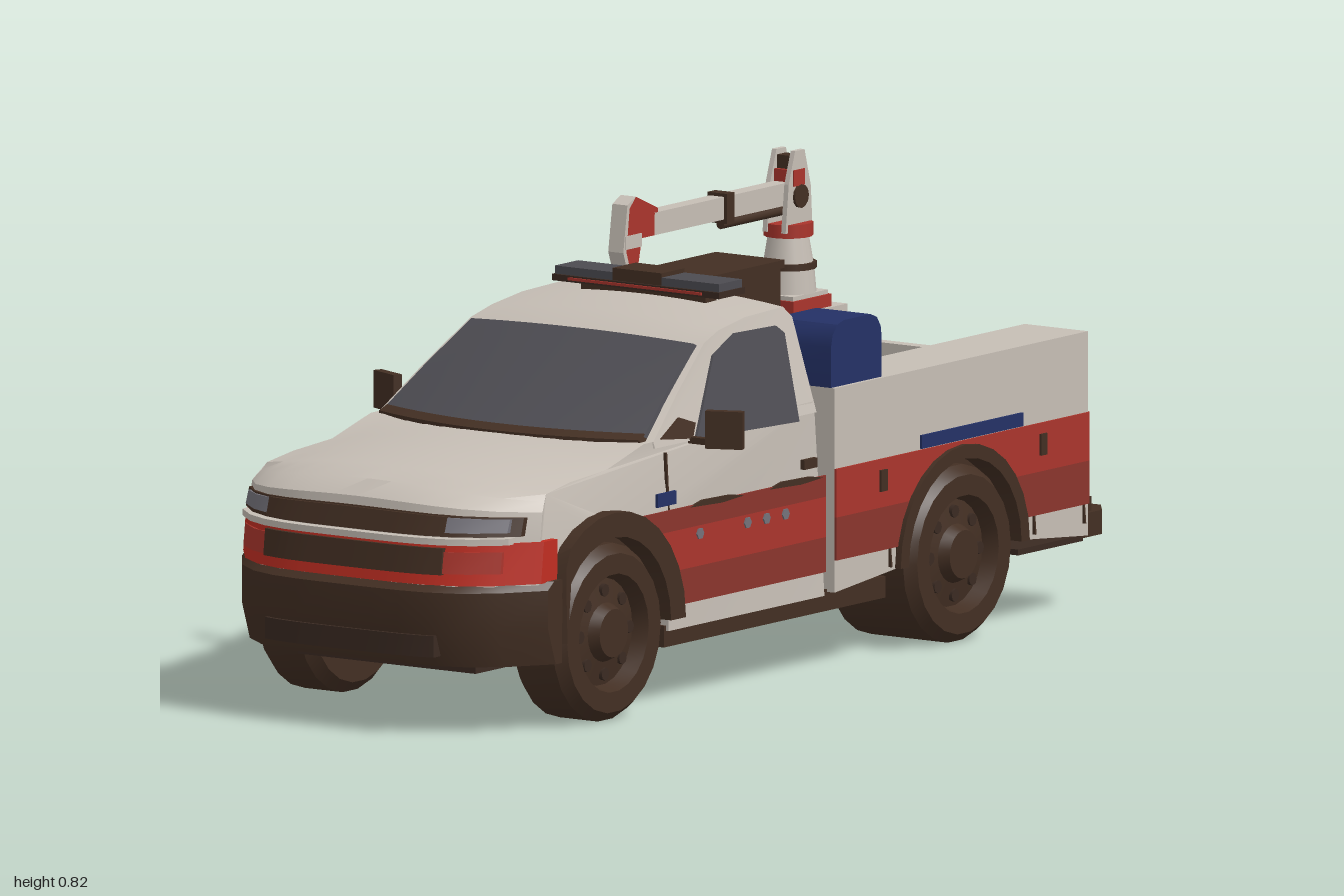
import * as THREE from 'three';
import { toCreasedNormals } from 'three/addons/utils/BufferGeometryUtils.js';

const mat = (name, color) => {
  const m = new THREE.MeshStandardMaterial({ color });
  m.name = name;
  return m;
};

export function createModel() {
  const white = mat('white paint', 0xc6beb5), brown = mat('dark trim', 0x432f23);
  const red = mat('red stripe', 0xaa352c), maroon = mat('maroon stripe', 0x8a352d);
  const scarlet = mat('bright red', 0xc02e22), navy = mat('navy', 0x243166);
  const glass = mat('glass', 0x4c4b51), black = mat('rubber', 0x3a2a22), grey = mat('lamp grey', 0x74727a);

  const truck = new THREE.Group();
  truck.name = 'truck';
  const add = (name, geo, m) => {
    const mesh = new THREE.Mesh(geo, m);
    mesh.name = name;
    truck.add(mesh);
    return mesh;
  };
  const box = (name, m, x0, x1, y0, y1, z0, z1) =>
    add(name, new THREE.BoxGeometry(x1 - x0, y1 - y0, z1 - z0)
      .translate((x0 + x1) / 2, (y0 + y1) / 2, (z0 + z1) / 2), m);

  // Side profile [z, y] swept from x0 to x1
  const sweep = (pts, x0, x1, steps = 1) => {
    const shape = new THREE.Shape(pts.map(p => new THREE.Vector2(p[0], p[1])));
    return new THREE.ExtrudeGeometry(shape, { depth: x1 - x0, steps, bevelEnabled: false })
      .rotateY(-Math.PI / 2).translate(x1, 0, 0);
  };
  // Rounds the nose in plan, crowns hood and roof, leans the cab sides in
  const HW = 0.33, smooth = THREE.MathUtils.smoothstep;
  const warp = (geo, bow = 0) => {
    const p = geo.attributes.position;
    for (let i = 0; i < p.count; i++) {
      const x = p.getX(i), y = p.getY(i), z = p.getZ(i), u = Math.abs(x) / HW;
      const lean = 1 - 0.9 * Math.max(0, y - 0.42);
      const crown = bow ? 0.015 * smooth(y, 0.62, 0.68) : 0.03 * smooth(y, 0.38, 0.47) * smooth(z, 0.45, 0.6);
      const back = bow ? bow * u * u * THREE.MathUtils.clamp((0.66 - y) / 0.17, 0, 1) * smooth(z, 0.1, 0.3)
        : 0.13 * u ** 4 * smooth(z, 0.76, 0.97);
      p.setXYZ(i, x * lean, y - crown * u * u, z - back);
    }
    return toCreasedNormals(geo, 0.5);
  };
  const slab = (name, m, pts, hw = HW, bow = 0) => add(name, warp(sweep(pts, -hw, hw, 12), bow), m);
  // Thin panel on both sides of the truck
  const sides = (name, m, pts, x, thick = 0.006) => {
    for (const s of [-1, 1]) {
      const a = s * x, b = s * (x + thick);
      add(name, warp(sweep(pts, Math.min(a, b), Math.max(a, b))), m);
    }
  };
  const rect = (z0, z1, y0, y1) => [[z0, y0], [z1, y0], [z1, y1], [z0, y1]];
  const arc = (c, r, a0, a1, n = 14) => Array.from({ length: n + 1 }, (_, i) => {
    const a = a0 + (a1 - a0) * i / n;
    return [c + r * Math.cos(a), 0.165 + r * Math.sin(a)];
  });

  const FRONT = 0.633, REAR = -0.47;

  // Lower cab and engine bay
  slab('cabBody', white, [[-0.06, 0.14], [-0.06, 0.5], [0.48, 0.495], [0.6, 0.49], [0.72, 0.483],
    [0.84, 0.472], [0.92, 0.458], [0.955, 0.43], [0.967, 0.36], [0.975, 0.28],
    ...arc(FRONT, 0.2, 0.62, Math.PI), [0.433, 0.14]]);
  slab('frontBumper', brown, [[0.97, 0.285], [0.99, 0.27], [0.99, 0.2], [0.965, 0.13], [0.825, 0.13],
    [0.825, 0.2], [0.797, 0.285]], 0.345);
  slab('bumperIntake', black, rect(0.97, 0.993, 0.15, 0.19), 0.19);
  slab('noseStripe', scarlet, [[0.82, 0.283], [0.983, 0.283], [0.974, 0.36], [0.82, 0.36]], 0.336);
  slab('noseLamps', red, [[0.95, 0.305], [0.985, 0.305], [0.979, 0.345], [0.95, 0.345]], 0.29);
  slab('lowerGrille', brown, [[0.95, 0.303], [0.988, 0.303], [0.982, 0.352], [0.95, 0.352]], 0.2);
  slab('upperGrille', brown, [[0.9, 0.372], [0.972, 0.372], [0.962, 0.414], [0.9, 0.414]], 0.31);
  slab('headlamps', grey, [[0.92, 0.38], [0.976, 0.38], [0.967, 0.41], [0.92, 0.41]], 0.295);
  slab('grilleCentre', brown, [[0.92, 0.376], [0.979, 0.376], [0.969, 0.412], [0.92, 0.412]], 0.2);
  slab('grilleBar', white, rect(0.9, 0.985, 0.358, 0.37), 0.3);

  // Cab top and glass
  slab('cabTop', white, [[-0.06, 0.48], [-0.06, 0.665], [-0.04, 0.688], [0.08, 0.685], [0.17, 0.672],
    [0.23, 0.648], [0.38, 0.568], [0.52, 0.492], [0.52, 0.48]], HW, 0.07);
  slab('windscreen', glass, [[0.235, 0.638], [0.246, 0.648], [0.388, 0.572], [0.518, 0.501], [0.505, 0.493]], 0.315, 0.07);
  slab('cowl', brown, [[0.49, 0.485], [0.535, 0.485], [0.535, 0.497], [0.51, 0.506]], 0.315, 0.07);
  sides('sideWindow', glass, [[0.325, 0.482], [0.005, 0.472], [-0.015, 0.63], [0.005, 0.645], [0.135, 0.648], [0.215, 0.618]], HW);
  sides('pillarTrim', brown, [[0.43, 0.494], [0.335, 0.484], [0.315, 0.51], [0.36, 0.525]], HW, 0.005);
  sides('doorSeam', brown, rect(0.424, 0.428, 0.2, 0.47), HW);
  sides('doorHandle', brown, rect(-0.025, 0.015, 0.385, 0.403), HW, 0.009);
  box('sill', brown, -0.325, 0.325, 0.11, 0.15, -0.26, 0.44);

  // Service bed
  for (const s of [-1, 1]) {
    const a = s * 0.2, b = s * 0.342;
    add('bedLocker', sweep([[-0.075, 0.145], [-0.075, 0.525], [-0.875, 0.525], [-0.875, 0.145],
      ...arc(REAR, 0.19, Math.PI, 0)], Math.min(a, b), Math.max(a, b)), white);
    add('tailLamp', new THREE.CylinderGeometry(0.024, 0.024, 0.008, 4).rotateX(Math.PI / 2)
      .translate(s * 0.27, 0.445, -0.876), scarlet);
  }
  box('bedFloor', brown, -0.2, 0.2, 0.145, 0.345, -0.86, -0.08);
  box('bedFrontWall', white, -0.2, 0.2, 0.145, 0.5, -0.095, -0.075);
  box('bedStep', maroon, -0.199, 0.199, 0.345, 0.355, -0.17, -0.095);
  box('tailgate', white, -0.2, 0.2, 0.145, 0.465, -0.875, -0.85);
  box('tailStripe', red, -0.342, 0.342, 0.29, 0.375, -0.881, -0.874);
  box('tailStripeLow', maroon, -0.342, 0.342, 0.21, 0.29, -0.881, -0.874);

  // Stripes that stop at the wheel arches
  const band = (name, m, c, zEnd, y0, y1, x) => {
    const dir = Math.sign(zEnd - c), pts = [[zEnd, y1], [zEnd, y0]];
    for (let i = 0; i <= 8; i++) {
      const y = y0 + (y1 - y0) * i / 8;
      pts.push([c + dir * Math.sqrt(Math.max(0, 0.0365 - (y - 0.165) ** 2)), y]);
    }
    sides(name, m, pts, x, 0.004);
  };
  band('doorStripeTop', maroon, FRONT, -0.06, 0.325, 0.365, HW);
  band('doorStripe', red, FRONT, -0.06, 0.25, 0.325, HW);
  band('doorStripeLow', maroon, FRONT, -0.06, 0.185, 0.25, HW);
  for (const z of [-0.075, -0.875]) {
    band('bedStripe', red, REAR, z, 0.285, 0.375, 0.342);
    band('bedStripeLow', maroon, REAR, z, 0.205, 0.285, 0.342);
  }
  for (const z of [0.07, 0.13, 0.19, 0.34])
    sides('doorFleck', grey, arc(z, 0.011, 0, Math.PI * 5 / 3, 5).map(([a, b]) => [a, b + 0.145]), HW, 0.007);
  for (const z of [0.02, 0.27])
    sides('stripeShade', brown, [[z - 0.07, 0.362], [z, 0.358], [z + 0.1, 0.362], [z + 0.06, 0.371], [z - 0.03, 0.369]], HW, 0.005);
  sides('blueStripe', navy, rect(-0.665, -0.345, 0.377, 0.402), 0.342, 0.005);
  sides('blueFleck', navy, rect(0.415, 0.473, 0.375, 0.4), HW, 0.005);
  for (const z of [-0.25, -0.273, -0.705, -0.862]) sides('lockerSeam', brown, rect(z, z + 0.004, 0.17, 0.51), 0.342);
  for (const z of [-0.222, -0.727]) sides('lockerLatch', brown, rect(z - 0.01, z + 0.01, 0.315, 0.355), 0.342, 0.008);
  sides('lockerTopSeam', brown, rect(-0.86, -0.09, 0.507, 0.511), 0.342);

  // Wheel arch flares and dark wheel wells
  for (const [c, r, x0, x1] of [[FRONT, 0.225, 0.29, 0.352], [REAR, 0.204, 0.3, 0.355]]) {
    for (const s of [-1, 1]) {
      const ring = [...arc(c, r, 0, Math.PI), ...arc(c, 0.178, Math.PI, 0)];
      add('archFlare', warp(sweep(ring, s > 0 ? x0 : -x1, s > 0 ? x1 : -x0)), brown);
    }
    add('wheelWell', sweep(arc(c, 0.199, 0, Math.PI).map(([z, y]) => [z, Math.min(y, 0.344)]), -0.305, 0.305), brown);
  }

  // Wheels, with wide pairs at the back
  for (const [z, inner, outer] of [[FRONT, 0.225, 0.35], [REAR, 0.14, 0.352]])
    for (const s of [-1, 1]) {
      const h = (outer - inner) / 2;
      const prof = [[0, -h], [0.145, -h], [0.165, -h + 0.02], [0.165, h - 0.02], [0.148, h], [0.11, h],
        [0.1, h - 0.03], [0.055, h - 0.02], [0.045, h], [0, h]].map(p => new THREE.Vector2(...p));
      const wheel = new THREE.Group();
      wheel.name = 'wheel';
      const tyre = new THREE.Mesh(toCreasedNormals(new THREE.LatheGeometry(prof, 22), 0.5), brown);
      tyre.name = 'tyre';
      wheel.add(tyre);
      for (let i = 0; i < 8; i++) {
        const a = i * Math.PI / 4;
        const hole = new THREE.Mesh(new THREE.CylinderGeometry(0.012, 0.012, 0.008, 8), black);
        hole.name = 'rimHole';
        hole.position.set(0.078 * Math.cos(a), h - 0.023, 0.078 * Math.sin(a));
        wheel.add(hole);
      }
      wheel.rotation.z = -s * Math.PI / 2;
      wheel.position.set(s * (inner + outer) / 2, 0.165, z);
      truck.add(wheel);
    }

  // Underside
  box('chassis', black, -0.2, 0.2, 0.105, 0.25, -0.26, 0.86);
  box('chassisRear', black, -0.135, 0.135, 0.135, 0.25, -0.86, -0.26);
  box('bedUndersideRear', black, -0.335, 0.335, 0.135, 0.146, -0.87, -0.665);
  for (const z of [FRONT, REAR])
    add('axle', new THREE.CylinderGeometry(0.025, 0.025, 0.56, 10).rotateZ(Math.PI / 2).translate(0, 0.165, z), black);

  // Rear step bumper with chamfered ends
  const plan = new THREE.Shape([[-0.335, 0.86], [0.335, 0.86], [0.335, 0.93], [0.3, 0.975], [-0.3, 0.975], [-0.335, 0.93]]
    .map(p => new THREE.Vector2(...p)));
  add('rearBumper', new THREE.ExtrudeGeometry(plan, { depth: 0.045, bevelEnabled: false })
    .rotateX(-Math.PI / 2).translate(0, 0.14, 0), brown);
  box('bumperStep', brown, -0.325, 0.325, 0.18, 0.212, -0.91, -0.875);

  // Mirrors
  for (const s of [-1, 1]) {
    const m = add('mirror', new THREE.BoxGeometry(0.07, 0.07, 0.018), brown);
    m.position.set(s * 0.38, 0.505, 0.325);
    m.rotation.y = s * 0.4;
    box('mirrorArm', brown, s * 0.335 - 0.03, s * 0.335 + 0.03, 0.475, 0.487, 0.325, 0.34);
  }

  // Light bar
  box('lightBarFoot', brown, -0.14, 0.14, 0.675, 0.7, 0.015, 0.05);
  box('lightBarBase', black, -0.188, 0.188, 0.696, 0.708, -0.008, 0.075);
  for (const s of [-1, 1]) box('lightBarLens', glass, s * 0.12 - 0.065, s * 0.12 + 0.065, 0.708, 0.723, -0.003, 0.07);
  box('lightBarCentre', brown, -0.055, 0.055, 0.708, 0.731, -0.003, 0.07);
  box('lightBarStripe', red, -0.15, 0.15, 0.7, 0.705, 0.07, 0.079);

  // Rounded blue locker and brown tool chest on the bed rails
  add('blueLocker', toCreasedNormals(sweep([[-0.075, 0.525], [-0.075, 0.6], [-0.08, 0.622], [-0.095, 0.64], [-0.115, 0.646],
    [-0.2, 0.646], [-0.22, 0.638], [-0.232, 0.62], [-0.235, 0.6], [-0.235, 0.525]], 0.212, 0.334), 0.5), navy);
  box('toolChest', brown, -0.335, -0.19, 0.525, 0.625, -0.65, -0.32);
  box('toolChestLid', brown, -0.34, -0.185, 0.622, 0.637, -0.655, -0.315);

  // Crane
  const CX = -0.262, CZ = -0.775;
  const drum = (name, m, r0, r1, y0, y1) =>
    add(name, new THREE.CylinderGeometry(r1, r0, y1 - y0, 14).translate(CX, (y0 + y1) / 2, CZ), m);
  box('craneBase', red, CX - 0.055, CX + 0.055, 0.525, 0.548, CZ - 0.06, CZ + 0.06);
  box('craneBasePlate', white, CX - 0.05, CX + 0.05, 0.548, 0.556, CZ - 0.055, CZ + 0.055);
  drum('craneFoot', white, 0.052, 0.048, 0.555, 0.6);
  drum('craneCollar', brown, 0.053, 0.053, 0.6, 0.612);
  drum('cranePost', white, 0.046, 0.038, 0.612, 0.66);
  drum('craneRing', red, 0.046, 0.046, 0.66, 0.685);
  for (const s of [-1, 1])
    add('craneCheek', sweep([[CZ - 0.04, 0.67], [CZ + 0.045, 0.67], [CZ + 0.035, 0.76], [CZ + 0.015, 0.82], [CZ - 0.015, 0.82], [CZ - 0.035, 0.75]],
      CX + s * 0.021 - 0.005, CX + s * 0.021 + 0.005), white);
  box('craneCheekPlate', red, CX - 0.029, CX + 0.029, 0.755, 0.785, CZ - 0.012, CZ + 0.022);
  box('craneCap', brown, CX - 0.02, CX + 0.02, 0.77, 0.81, CZ - 0.014, CZ + 0.014);
  add('cranePivot', new THREE.CylinderGeometry(0.022, 0.022, 0.062, 12).rotateZ(Math.PI / 2).translate(CX, 0.735, CZ), brown);
  box('craneArm', white, CX - 0.016, CX + 0.016, 0.72, 0.762, CZ, -0.33);
  box('craneArmClamp', brown, CX - 0.022, CX + 0.022, 0.712, 0.768, -0.575, -0.55);
  add('craneRam', new THREE.CylinderGeometry(0.009, 0.009, 0.2, 8).rotateX(Math.PI / 2).translate(CX, 0.708, -0.66), brown);
  add('craneHead', sweep([[-0.35, 0.72], [-0.34, 0.77], [-0.27, 0.8], [-0.245, 0.78], [-0.235, 0.7], [-0.255, 0.65], [-0.275, 0.655], [-0.29, 0.72]],
    CX - 0.016, CX + 0.016), red);
  add('craneHeadFace', sweep([[-0.27, 0.8], [-0.243, 0.787], [-0.23, 0.7], [-0.25, 0.645], [-0.258, 0.65], [-0.24, 0.7], [-0.25, 0.78]],
    CX - 0.017, CX + 0.017), white);
  box('craneHeadBand', white, CX - 0.018, CX + 0.018, 0.705, 0.73, -0.287, -0.235);
  add('craneHook', sweep([[-0.275, 0.66], [-0.255, 0.66], [-0.26, 0.595], [-0.27, 0.6]], CX - 0.01, CX + 0.01), red);

  // The whole truck stands slightly turned
  truck.rotation.y = -0.074;
  truck.position.x = 0.012;
  const model = new THREE.Group();
  model.name = 'serviceTruck';
  model.add(truck);
  return model;
}
